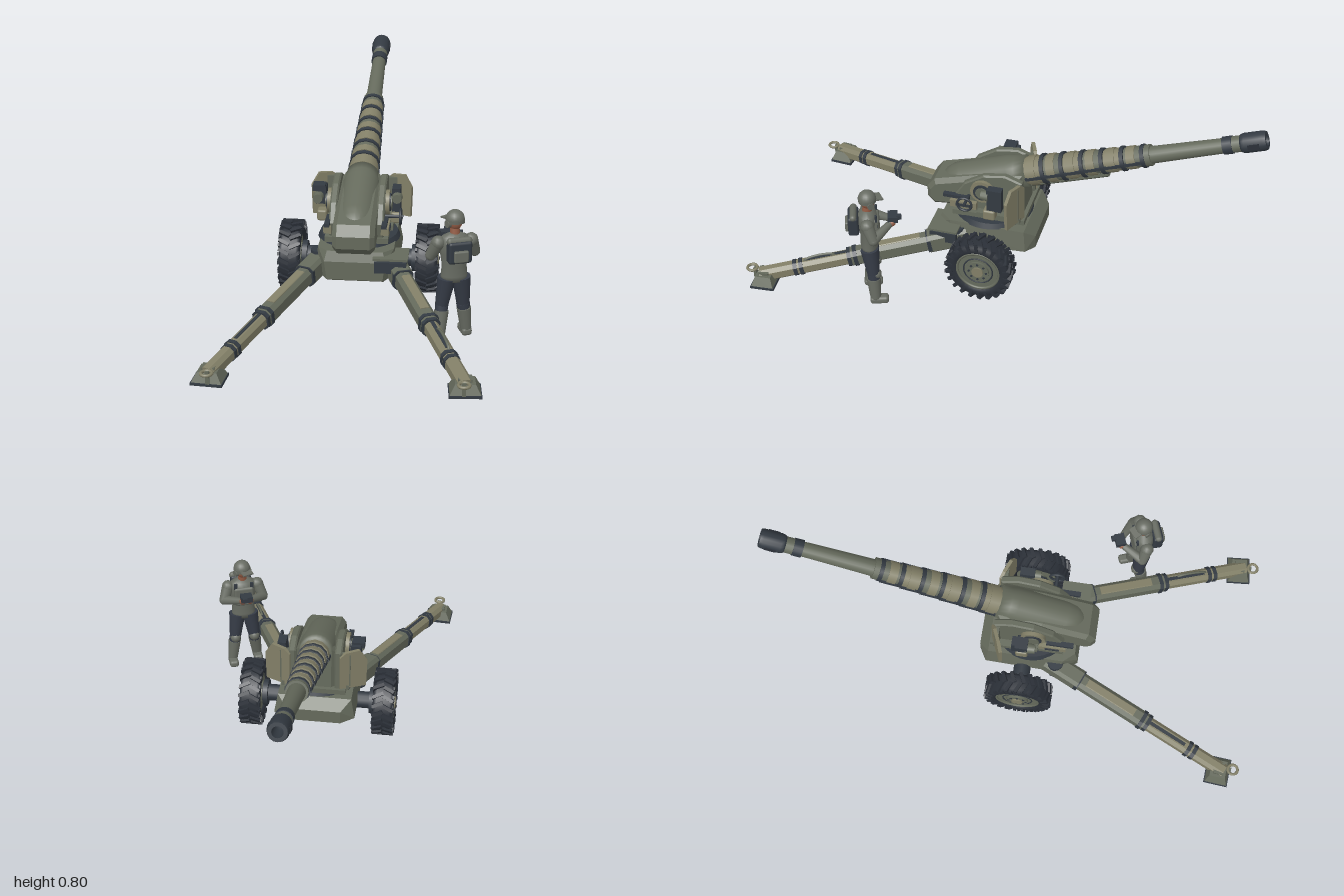
import * as THREE from 'three';
import { ConvexGeometry } from 'three/addons/geometries/ConvexGeometry.js';
import { RoundedBoxGeometry } from 'three/addons/geometries/RoundedBoxGeometry.js';

const mat = (name, color) => {
  const m = new THREE.MeshStandardMaterial({ color });
  m.name = name;
  return m;
};
const V = (x, y, z) => new THREE.Vector3(x, y, z);

export function createModel() {
  const olive = mat('olive', 0x656a5c), tan = mat('tan', 0x827f67), dark = mat('dark steel', 0x333a42);
  const rubber = mat('rubber', 0x2b3038), cloth = mat('uniform', 0x686c63), navy = mat('trousers', 0x363c47);
  const skin = mat('skin', 0x935c45);
  const root = new THREE.Group();
  root.name = 'fieldGun';

  const group = (parent, name, x = 0, y = 0, z = 0) => {
    const g = new THREE.Group();
    g.name = name;
    g.position.set(x, y, z);
    parent.add(g);
    return g;
  };
  const add = (parent, name, geo, m, p = [0, 0, 0], r = [0, 0, 0]) => {
    const o = new THREE.Mesh(geo, m);
    o.name = name;
    o.position.set(...p);
    o.rotation.set(...r);
    parent.add(o);
    return o;
  };
  const box = (parent, name, size, m, p, r) => add(parent, name, new THREE.BoxGeometry(...size), m, p, r);
  const cylX = (parent, name, r, w, m, p, n = 20) =>
    add(parent, name, new THREE.CylinderGeometry(r, r, w, n).rotateZ(Math.PI / 2), m, p);
  const shape = pts => new THREE.Shape(pts.map(p => new THREE.Vector2(...p)));
  // Side profile in (z, y), extruded across x
  const side = (pts, w, bevel = 0) => new THREE.ExtrudeGeometry(shape(pts), {
    depth: w - 2 * bevel, bevelEnabled: bevel > 0, bevelSize: bevel, bevelOffset: -bevel, bevelThickness: bevel, bevelSegments: 1,
  }).translate(0, 0, -w / 2 + bevel).rotateY(-Math.PI / 2);
  // Bar with chamfered corners along z
  const bar = (w, h, len, c) => new THREE.ExtrudeGeometry(shape([
    [-w / 2 + c, -h / 2], [w / 2 - c, -h / 2], [w / 2, -h / 2 + c], [w / 2, h / 2 - c],
    [w / 2 - c, h / 2], [-w / 2 + c, h / 2], [-w / 2, h / 2 - c], [-w / 2, -h / 2 + c],
  ]), { depth: len, bevelEnabled: false });
  // Lathe with its axis along -z, points given as [radius, distance]
  const turned = (pts, n = 20) => new THREE.LatheGeometry(pts.map(p => new THREE.Vector2(...p)), n).rotateX(-Math.PI / 2);
  const ring = (r, a, b, n) => turned([[0, a], [r, a], [r, a], [r, b], [r, b], [0, b]], n);
  // Tapered round limb between two points
  const limb = (parent, name, a, b, r1, r2, m) => {
    const g = new THREE.CylinderGeometry(r2, r1, a.distanceTo(b), 12);
    const o = add(parent, name, g, m, a.clone().add(b).multiplyScalar(0.5).toArray());
    o.quaternion.setFromUnitVectors(V(0, 1, 0), b.clone().sub(a).normalize());
    add(parent, name + 'Joint', new THREE.SphereGeometry(r2, 12, 8), m, b.toArray());
    return o;
  };

  // Wheels with chevron tread
  for (const s of [-1, 1]) {
    const w = group(root, s > 0 ? 'leftWheel' : 'rightWheel', s * 0.275, 0.14, 0.055);
    add(w, 'tyre', new THREE.LatheGeometry([[0.085, -0.032], [0.1, -0.043], [0.122, -0.04], [0.13, -0.028],
      [0.13, 0.028], [0.122, 0.04], [0.1, 0.043], [0.085, 0.032], [0.085, -0.032]].map(p => new THREE.Vector2(...p)), 32)
      .rotateZ(Math.PI / 2), rubber);
    for (let i = 0; i < 22; i++) for (const e of [-1, 1]) {
      const h = group(w, 'treadSpoke');
      h.rotation.x = (i + (e > 0 ? 0.35 : 0)) / 22 * Math.PI * 2;
      box(h, 'treadLug', [0.046, 0.016, 0.014], rubber, [e * 0.021, 0.131, 0], [0, e * 0.45, 0]);
      box(h, 'shoulderLug', [0.007, 0.028, 0.013], rubber, [e * 0.0415, 0.119, e * -0.009]);
    }
    cylX(w, 'rim', 0.092, 0.062, olive, [0, 0, 0], 32);
    add(w, 'rimLip', new THREE.TorusGeometry(0.087, 0.006, 8, 32).rotateY(Math.PI / 2), olive, [s * 0.032, 0, 0]);
    add(w, 'rimGroove', new THREE.TorusGeometry(0.06, 0.003, 6, 32).rotateY(Math.PI / 2), dark, [s * 0.031, 0, 0]);
    cylX(w, 'hub', 0.046, 0.078, olive, [0, 0, 0]);
    cylX(w, 'hubCap', 0.024, 0.09, tan, [0, 0, 0], 12);
    for (let i = 0; i < 8; i++) {
      const a = i * Math.PI / 4;
      cylX(w, 'wheelBolt', 0.005, 0.084, dark, [0, Math.cos(a) * 0.036, Math.sin(a) * 0.036], 6);
    }
    cylX(root, 'axle', 0.035, 0.11, dark, [s * 0.2, 0.14, 0.055], 12);
    cylX(root, 'axleFlange', 0.055, 0.02, dark, [s * 0.222, 0.14, 0.055], 16);
  }

  // Lower carriage
  const hull = [];
  for (const s of [-1, 1]) hull.push(V(s * 0.11, 0.11, -0.04), V(s * 0.11, 0.11, 0.24), V(s * 0.165, 0.16, -0.1),
    V(s * 0.165, 0.14, 0.2), V(s * 0.15, 0.245, -0.09), V(s * 0.15, 0.245, 0.22), V(s * 0.11, 0.13, 0.28),
    V(s * 0.12, 0.205, 0.28), V(s * 0.11, 0.245, 0.265), V(s * 0.11, 0.15, -0.13), V(s * 0.11, 0.205, -0.13));
  add(root, 'lowerCarriage', new ConvexGeometry(hull), olive);
  add(root, 'turntable', new THREE.CylinderGeometry(0.155, 0.165, 0.022, 32), dark, [0, 0.252, 0.075]);
  box(root, 'deck', [0.25, 0.022, 0.3], olive, [0, 0.272, 0.065]);
  // Tool box on the left
  box(root, 'toolBox', [0.125, 0.045, 0.11], dark, [0.14, 0.19, 0.235]);
  box(root, 'toolBoxLid', [0.137, 0.009, 0.122], olive, [0.14, 0.226, 0.235]);

  // Upper carriage and breech
  add(root, 'breechBlock', side([[0.34, 0.285], [0.34, 0.335], [0.31, 0.375], [0.12, 0.43], [-0.06, 0.46],
    [-0.07, 0.27], [0.22, 0.265], [0.31, 0.255]], 0.165, 0.018), olive);
  for (const s of [-1, 1]) {
    add(root, 'cradleWall', side([[0.2, 0.27], [0.215, 0.34], [0.17, 0.41], [0.09, 0.46], [0.0, 0.475],
      [-0.07, 0.45], [-0.075, 0.27]], 0.03, 0.006), olive, [s * 0.093, 0, 0]);
    cylX(root, 'trunnion', 0.05, 0.02, tan, [s * 0.113, 0.39, 0.09], 20);
    cylX(root, 'trunnionRing', 0.036, 0.03, dark, [s * 0.113, 0.39, 0.09], 20);
    cylX(root, 'trunnionCap', 0.026, 0.04, olive, [s * 0.113, 0.39, 0.09], 12);
    box(root, 'sidePanel', [0.03, 0.03, 0.11], tan, [s * 0.113, 0.315, 0.17]);
    box(root, 'sideStep', [0.03, 0.022, 0.18], olive, [s * 0.122, 0.287, 0.02]);
    box(root, 'sideBar', [0.02, 0.014, 0.11], dark, [s * 0.112, 0.345, 0.2]);
    box(root, 'panelSlot', [0.006, 0.012, 0.06], dark, [s * 0.129, 0.315, 0.17]);
    // Shield plate, swept back at its outer edge
    const pts = [[0, 0.285], [0.11, 0.285], [0.114, 0.41], [0.082, 0.46], [0.025, 0.455], [0, 0.435]].map(p => [p[0] * s, p[1]]);
    add(root, 'shieldPlate', new THREE.ExtrudeGeometry(shape(pts), { depth: 0.014, bevelEnabled: false }),
      tan, [s * 0.102, 0, -0.08], [0, -s * 0.4, 0]);
    box(root, 'shieldBracket', [0.05, 0.15, 0.02], olive, [s * 0.118, 0.37, -0.055]);
  }
  // Sight on the right, aiming gear on the left
  box(root, 'sightBody', [0.04, 0.07, 0.06], dark, [-0.155, 0.4, 0.04]);
  box(root, 'sightHead', [0.05, 0.025, 0.05], dark, [-0.163, 0.432, 0.05]);
  add(root, 'sightEyepiece', new THREE.CylinderGeometry(0.019, 0.022, 0.04, 12).rotateX(Math.PI / 2), olive, [-0.165, 0.398, 0.085]);
  cylX(root, 'sightArm', 0.012, 0.08, dark, [-0.13, 0.37, 0.04], 10);
  add(root, 'sightBox', new RoundedBoxGeometry(0.04, 0.045, 0.05, 2, 0.008), tan, [-0.152, 0.315, 0.05]);
  box(root, 'gearBox', [0.034, 0.1, 0.06], dark, [0.146, 0.385, 0.03]);
  add(root, 'gearDial', new THREE.CylinderGeometry(0.019, 0.022, 0.03, 12).rotateX(Math.PI / 2), olive, [0.15, 0.4, 0.07]);
  add(root, 'gearCase', new RoundedBoxGeometry(0.045, 0.045, 0.05, 2, 0.008), tan, [0.148, 0.315, 0.05]);
  cylX(root, 'crankShaft', 0.007, 0.09, dark, [0.135, 0.353, 0.15], 8);
  add(root, 'handWheel', new THREE.TorusGeometry(0.03, 0.005, 8, 20).rotateY(Math.PI / 2), dark, [0.17, 0.353, 0.15]);

  // Elevated gun, local -z runs towards the muzzle
  const gun = group(root, 'gun', 0, 0.388, 0.09);
  gun.rotation.x = 0.339;
  add(gun, 'breechDome', turned([[0, -0.215], [0.035, -0.205], [0.058, -0.185], [0.072, -0.15], [0.076, -0.11],
    [0.076, 0.1], [0.07, 0.13], [0.066, 0.17], [0, 0.17]], 24), olive);
  add(gun, 'barrel', turned([[0.042, 0.1], [0.036, 0.62], [0.034, 0.7], [0.029, 1.0], [0.029, 1.07]], 20), olive);
  // Stepped sleeve with clamping bands
  const N = 6, t0 = 0.17, step = 0.083;
  for (let i = 0; i < N; i++) {
    const a = t0 + i * step, r = 0.061 - i * 0.003;
    add(gun, 'sleeve', ring(r - 0.004, a, a + step, 12), i % 2 ? olive : tan);
    add(gun, 'sleeveBand', ring(r + 0.001, a + step - 0.016, a + step, 12), dark);
    add(gun, 'sleeveCollar', ring(r, a + 0.01, a + 0.045, 12), tan);
    for (const s of [-1, 1]) box(gun, 'sleeveRail', [0.01, 0.012, 0.07], dark, [s * (r - 0.002), -0.004, -a - 0.035]);
  }
  add(gun, 'cradleTrough', bar(0.06, 0.035, 0.4, 0.01), olive, [0, -0.045, -0.5]);
  add(gun, 'sleeveEnd', ring(0.043, t0 + N * step, 0.69, 16), olive);
  add(gun, 'muzzleCollar', ring(0.035, 0.975, 1.012, 16), dark);
  add(gun, 'muzzleNeck', ring(0.032, 1.012, 1.045, 16), olive);
  add(gun, 'muzzleBrake', turned([[0.026, 1.035], [0.036, 1.048], [0.036, 1.048], [0.039, 1.06], [0.039, 1.13],
    [0.035, 1.143], [0.035, 1.143], [0.021, 1.143], [0.021, 1.143], [0.018, 1.07], [0, 1.07]], 16), dark);
  for (const s of [-1, 1]) box(gun, 'brakePort', [0.006, 0.022, 0.045], rubber, [s * 0.037, 0, -1.095]);

  // Split trails with spades and towing eyes
  for (const s of [-1, 1]) {
    const a = V(s * 0.15, 0.168, 0.2), b = V(s * 0.452, 0.042, 0.93);
    const len = a.distanceTo(b);
    const t = group(root, s > 0 ? 'leftTrail' : 'rightTrail', ...a.toArray());
    t.lookAt(b);
    add(t, 'trailRoot', bar(0.078, 0.086, 0.16, 0.014), olive, [0, 0, -0.05]);
    add(t, 'trailBeam', bar(0.066, 0.074, 0.34, 0.016), olive, [0, 0, 0.09]);
    add(t, 'trailTip', bar(0.054, 0.058, len - 0.4, 0.014), tan, [0, 0, 0.41]);
    add(t, 'trailPanel', bar(0.036, 0.012, 0.23, 0.003), tan, [0, 0.034, 0.14]);
    for (const [z, w] of [[0.1, 0.08], [0.405, 0.074], [0.43, 0.068], [0.63, 0.062], [0.655, 0.06]])
      add(t, 'trailBand', bar(w, w + 0.004, 0.016, 0.016), dark, [0, 0, z]);
    box(t, 'trailSlot', [0.014, 0.008, 0.17], dark, [0, 0.027, 0.53]);
    add(root, 'trailHinge', new THREE.CylinderGeometry(0.033, 0.033, 0.1, 12), dark, [s * 0.15, 0.17, 0.19]);
    // Spade foot
    const foot = [];
    for (const i of [-1, 1]) for (const j of [-1, 1])
      foot.push(V(i * 0.056, 0.016, j * 0.046), V(i * 0.036, 0.055, j * 0.032));
    const f = group(root, 'spade', s * 0.452, 0, 0.918);
    f.rotation.y = s * 0.08;
    add(f, 'spadeFoot', new ConvexGeometry(foot), olive);
    box(f, 'spadePlate', [0.116, 0.01, 0.098], dark, [0, 0.013, 0]);
    box(f, 'spadeCap', [0.05, 0.014, 0.04], olive, [0, 0.06, 0]);
    box(root, 'towPost', [0.014, 0.05, 0.012], olive, [s * 0.45, 0.042, 0.962]);
    add(root, 'towEye', new THREE.TorusGeometry(0.02, 0.006, 8, 16).rotateX(Math.PI / 2), tan, [s * 0.45, 0.065, 0.974]);
  }
  // Carrying rail on the left trail
  add(root, 'carryRail', new THREE.TubeGeometry(new THREE.CatmullRomCurve3([V(0.335, 0.085, 0.64), V(0.345, 0.122, 0.66),
    V(0.385, 0.106, 0.76), V(0.395, 0.065, 0.785)]), 20, 0.005, 6), olive);

  // Crewman facing the gun
  const man = group(root, 'crewman', 0.393, 0, 0.475);
  man.rotation.y = 0.35;
  for (const s of [-1, 1]) {
    const hip = V(s * 0.028, 0.25, 0), knee = V(s * 0.042, 0.135, -0.01), ankle = V(s * 0.056, 0.03, s * -0.012);
    limb(man, 'thigh', hip, knee, 0.036, 0.025, navy);
    limb(man, 'shin', knee, ankle, 0.026, 0.019, navy);
    limb(man, 'bootShaft', V(s * 0.045, 0.115, s * -0.003 - 0.006), ankle, 0.028, 0.022, cloth);
    add(man, 'boot', new RoundedBoxGeometry(0.04, 0.032, 0.075, 2, 0.012), cloth, [s * 0.057, 0.016, s * -0.012 - 0.015]);
    add(man, 'kneePad', new THREE.SphereGeometry(0.024, 10, 8), cloth, [s * 0.042, 0.135, -0.018]);
    const shoulder = V(s * 0.064, 0.393, 0), elbow = V(s * 0.086, 0.338, -0.02), hand = V(s * 0.02, 0.365, -0.085);
    add(man, 'shoulder', new THREE.SphereGeometry(0.027, 12, 8), cloth, shoulder.toArray());
    limb(man, 'upperArm', shoulder, elbow, 0.026, 0.021, cloth);
    limb(man, 'forearm', elbow, hand, 0.021, 0.014, cloth);
    add(man, 'hand', new THREE.SphereGeometry(0.015, 10, 8), skin, [s * 0.016, 0.368, -0.094]);
    box(man, 'packStrap', [0.014, 0.1, 0.008], dark, [s * 0.035, 0.37, -0.034]);
  }
  const torso = add(man, 'jacket', new THREE.LatheGeometry([[0, 0.235], [0.05, 0.238], [0.052, 0.26], [0.048, 0.3], [0.056, 0.35],
    [0.062, 0.39], [0.05, 0.415], [0.022, 0.428], [0, 0.43]].map(p => new THREE.Vector2(...p)), 16), cloth);
  torso.scale.z = 0.66;
  add(man, 'vest', new RoundedBoxGeometry(0.085, 0.09, 0.03, 2, 0.01), cloth, [0, 0.355, -0.03]);
  add(man, 'backpack', new RoundedBoxGeometry(0.09, 0.085, 0.042, 2, 0.01), dark, [0, 0.373, 0.055]);
  add(man, 'packPocket', new RoundedBoxGeometry(0.055, 0.045, 0.016, 2, 0.006), cloth, [0, 0.362, 0.08]);
  add(man, 'packRoll', new THREE.CapsuleGeometry(0.014, 0.07, 4, 10).rotateZ(Math.PI / 2), cloth, [0, 0.415, 0.054]);
  limb(man, 'neck', V(0, 0.415, 0), V(0, 0.45, -0.004), 0.02, 0.018, skin);
  const head = group(man, 'head', 0, 0.47, -0.006);
  head.rotation.y = 0.35;
  add(head, 'face', new THREE.SphereGeometry(0.029, 16, 12), skin).scale.set(0.92, 1.15, 1.05);
  add(head, 'cap', new THREE.SphereGeometry(0.036, 16, 8, 0, Math.PI * 2, 0, Math.PI / 2), cloth, [0, 0.01, 0.002]);
  add(head, 'capBand', new THREE.CylinderGeometry(0.036, 0.035, 0.014, 16), cloth, [0, 0.006, 0.002]);
  box(head, 'capPeak', [0.048, 0.006, 0.028], cloth, [0, 0.006, -0.042], [-0.15, 0, 0]);
  for (const s of [-1, 1]) cylX(head, 'earCup', 0.014, 0.014, cloth, [s * 0.031, -0.005, 0], 10);
  // Hand-held rangefinder
  box(man, 'rangefinder', [0.05, 0.026, 0.04], dark, [0, 0.385, -0.098]);
  box(man, 'rangefinderLens', [0.02, 0.016, 0.02], dark, [0.01, 0.392, -0.122]);

  return root;
}
